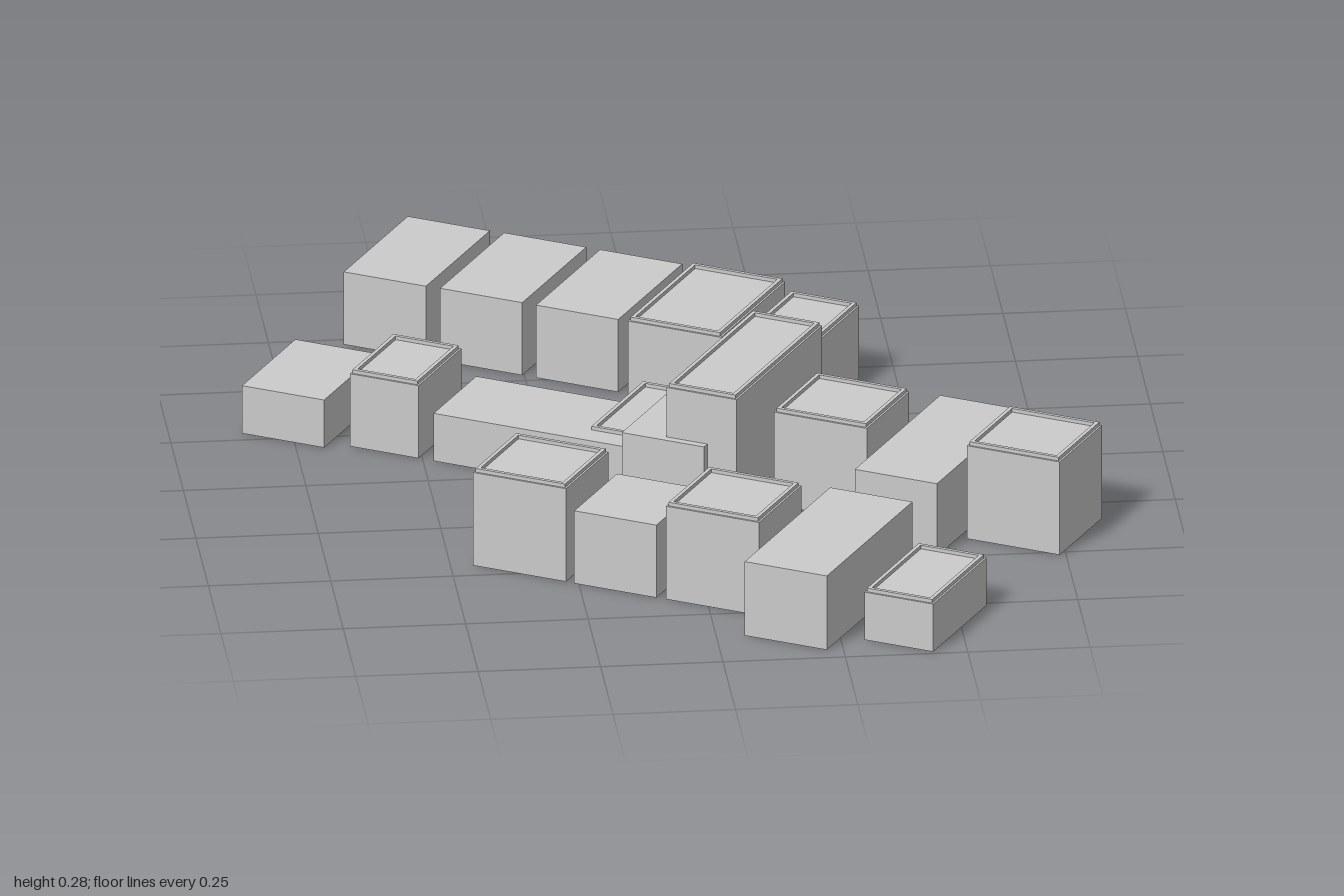
import * as THREE from 'three';

const RIM = 0.008; // parapet height, thickness and set-back
const material = new THREE.MeshStandardMaterial({ color: 0xcccccc, side: THREE.DoubleSide, flatShading: true });

// Hollow block: four walls and a roof, open underneath
function shell(w, h, d) {
  const g = new THREE.BoxGeometry(w, h, d).translate(0, h / 2, 0);
  const index = Array.from(g.index.array);
  index.splice(18, 6); // drop the bottom face
  g.setIndex(index);
  g.clearGroups();
  return g;
}

function rectangle(PathType, w, d) {
  return new PathType([[-1, -1], [1, -1], [1, 1], [-1, 1]]
    .map(([x, y]) => new THREE.Vector2(x * w / 2, y * d / 2)));
}

// Low rim around a flat roof
function parapet(w, d, y) {
  const shape = rectangle(THREE.Shape, w - RIM, d - RIM);
  shape.holes.push(rectangle(THREE.Path, w - 3 * RIM, d - 3 * RIM));
  return new THREE.ExtrudeGeometry(shape, { depth: RIM, bevelEnabled: false })
    .rotateX(-Math.PI / 2).translate(0, y, 0);
}

function building(x, z, w, d, top, hasParapet) {
  const group = new THREE.Group();
  group.name = 'building';
  const h = hasParapet ? top - RIM : top;
  const body = new THREE.Mesh(shell(w, h, d), material);
  body.name = 'walls';
  group.add(body);
  if (hasParapet) {
    const rim = new THREE.Mesh(parapet(w, d, h), material);
    rim.name = 'parapet';
    group.add(rim);
  }
  group.position.set(x, 0, z);
  group.rotation.y = -Math.PI / 6; // all blocks follow the street direction
  return group;
}

// Per building: x, z, width, depth, top height, parapet
const rows = {
  backRow: [
    [-0.44, -0.817, 0.183, 0.318, 0.16, false],
    [-0.254, -0.712, 0.183, 0.318, 0.16, false],
    [-0.069, -0.605, 0.183, 0.318, 0.16, false],
    [0.119, -0.497, 0.207, 0.318, 0.168, true],
    [0.306, -0.39, 0.153, 0.212, 0.168, true],
  ],
  middleRow: [
    [-0.706, -0.354, 0.183, 0.265, 0.105, false],
    [-0.521, -0.249, 0.153, 0.212, 0.168, true],
    [-0.241, -0.087, 0.427, 0.212, 0.105, false],
    [-0.04, -0.058, 0.156, 0.265, 0.113, true],
    [0.037, 0.074, 0.183, 0.318, 0.16, false],
    [0.14, 0.053, 0.156, 0.424, 0.277, true],
    [0.328, 0.158, 0.207, 0.21, 0.213, true],
    [0.515, 0.267, 0.183, 0.424, 0.16, false],
    [0.7, 0.372, 0.207, 0.21, 0.213, true],
  ],
  frontRow: [
    [-0.312, 0.409, 0.207, 0.21, 0.213, true],
    [-0.127, 0.516, 0.183, 0.212, 0.16, false],
    [0.06, 0.624, 0.207, 0.21, 0.213, true],
    [0.243, 0.73, 0.183, 0.424, 0.163, false],
    [0.43, 0.838, 0.153, 0.265, 0.113, true],
  ],
};

export function createModel() {
  const model = new THREE.Group();
  model.name = 'buildingBlocks';
  for (const [name, list] of Object.entries(rows)) {
    const row = new THREE.Group();
    row.name = name;
    for (const spec of list) row.add(building(...spec));
    model.add(row);
  }
  return model;
}
